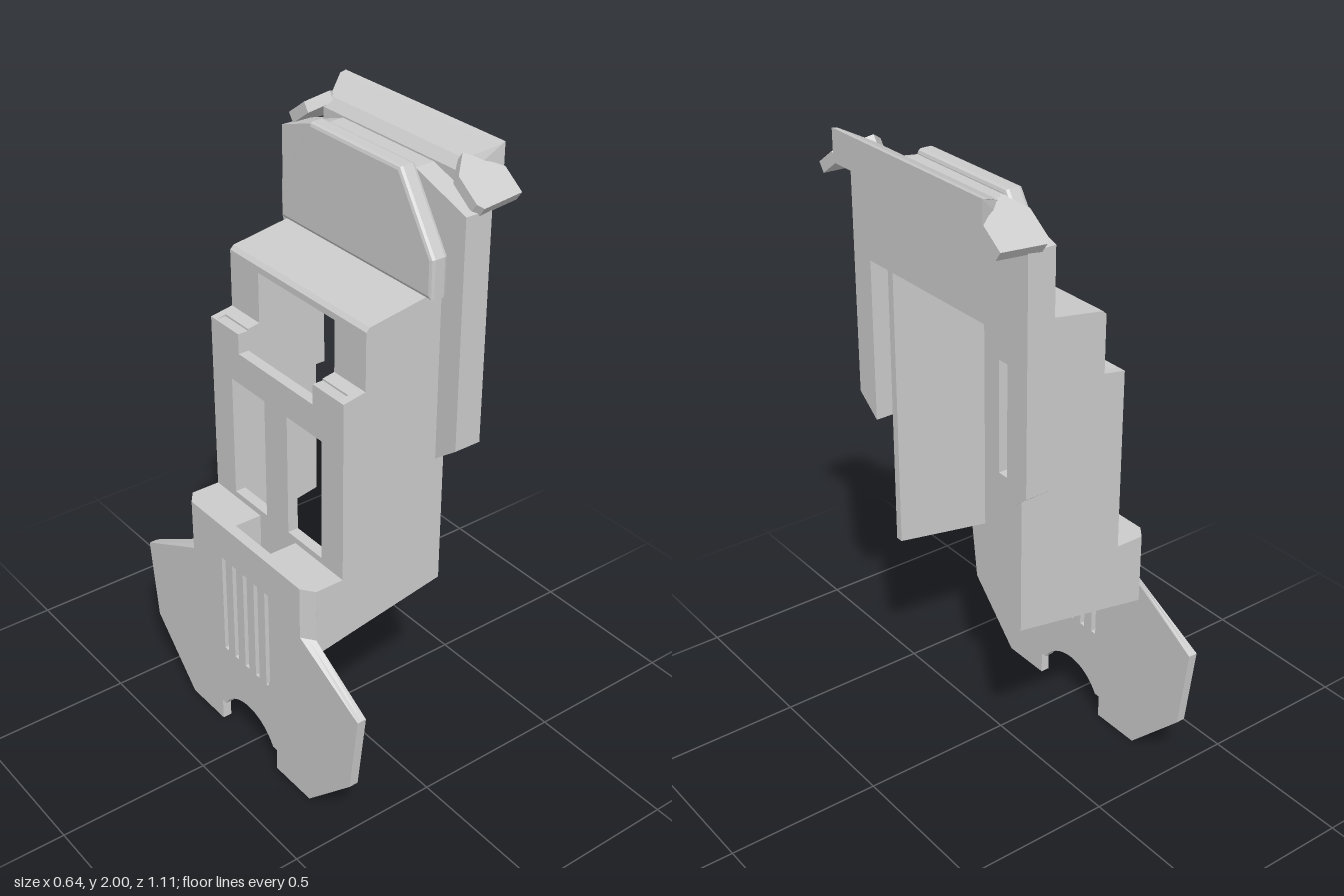
import * as THREE from 'three';

const material = new THREE.MeshStandardMaterial({ color: 0xcccccc, flatShading: true });

const polygon = pts => new THREE.Shape(pts.map(([a, b]) => new THREE.Vector2(a, b)));
const rect = (a0, b0, a1, b1) => [[a0, b0], [a1, b0], [a1, b1], [a0, b1]];
// Full outline from one half, mirrored across the first axis
const mirrored = half => polygon([...half, ...half.map(([a, b]) => [-a, b]).reverse()]);
const cut = (shape, ...rects) => {
  for (const r of rects) shape.holes.push(polygon(rect(...r)));
  return shape;
};

// Extrude of a given total depth, with the bevel kept inside the outline
function extrude(shape, depth, bevel = 0) {
  const g = new THREE.ExtrudeGeometry(shape, {
    depth: depth - 2 * bevel, bevelEnabled: bevel > 0, bevelSize: bevel,
    bevelThickness: bevel, bevelOffset: -bevel, bevelSegments: 2, curveSegments: 24,
  });
  return g.translate(0, 0, bevel);
}
// Outlines drawn as (z, y), (x, y) and (x, z)
const alongX = (s, x0, x1, b) => extrude(s, x1 - x0, b).rotateY(-Math.PI / 2).translate(x1, 0, 0);
const alongZ = (s, z0, z1, b) => extrude(s, z1 - z0, b).translate(0, 0, z0);
const alongY = (s, y0, y1, b) => extrude(s, y1 - y0, b).rotateX(Math.PI / 2).translate(0, y1, 0);

function reshape(g, rule) {
  const p = g.attributes.position, v = new THREE.Vector3();
  for (let i = 0; i < p.count; i++) {
    rule(v.fromBufferAttribute(p, i));
    p.setXYZ(i, v.x, v.y, v.z);
  }
  g.computeVertexNormals();
  return g;
}

// Lower plate outline with an arched cut-out and a tab up the back of the housing
function plateShape() {
  const s = new THREE.Shape();
  s.moveTo(0.15, 0);
  for (const [z, y] of [[0.32, 0], [0.52, 0.2], [0.555, 0.47], [0.32, 0.605], [0.32, 0.78],
    [-0.32, 0.78], [-0.32, 0.605], [-0.555, 0.47], [-0.52, 0.2], [-0.32, 0], [-0.15, 0], [-0.15, 0.075]]) s.lineTo(z, y);
  s.absarc(0, 0, 0.15, Math.PI * 5 / 6, Math.PI / 6, true);
  s.lineTo(0.15, 0.075);
  return s;
}

export function createModel() {
  const group = new THREE.Group();
  const add = (name, geometry) => {
    const m = new THREE.Mesh(geometry, material);
    m.name = name;
    group.add(m);
  };

  // Lower plate in two layers: long grooves outside, two rows of vents inside
  const slots = (...spans) => [-2, -1, 0, 1, 2].flatMap(i =>
    spans.map(([y0, y1]) => [i * 0.056 - 0.01, y0, i * 0.056 + 0.01, y1]));
  const chamfer = v => {
    if (v.y > 0.6 && Math.abs(v.z) > 0.3) v.z = Math.sign(v.z) * (0.28 + (v.x + 0.32) * 1.33);
  };
  add('lowerPlateOuter', reshape(alongX(cut(plateShape(), ...slots([0.31, 0.66])), -0.32, -0.305), chamfer));
  add('lowerPlateInner', reshape(
    alongX(cut(plateShape(), ...slots([0.31, 0.4], [0.455, 0.66])), -0.305, -0.29), chamfer));

  // Foot block with a vertical channel and a slanted underside
  const foot = cut(polygon([[-0.29, -0.32], [-0.195, -0.32], [-0.195, -0.295], [-0.16, -0.295],
    [-0.16, 0.295], [-0.195, 0.295], [-0.195, 0.32], [-0.29, 0.32]]), [-0.285, -0.09, -0.195, 0.09]);
  add('footBlock', reshape(alongY(foot, 0.55, 0.78), v => {
    if (v.y < 0.6) v.y = 0.55 + (v.x + 0.29) * 0.174;
  }));

  // Stepped side walls
  const wall = polygon([[-0.195, 0.567], [0.17, 0.63], [0.17, 1.585], [0.1, 1.575],
    [-0.12, 1.54], [-0.12, 1.378], [-0.195, 1.365]]);
  add('leftBackWall', alongZ(wall, -0.32, -0.295));
  add('rightFrontWall', alongZ(wall, 0.295, 0.32));

  // Back panel with two windows and a notch in its top edge
  add('windowPanel', alongX(cut(mirrored([[0.295, 0.78], [0.295, 1.365], [0.18, 1.365], [0.18, 1.3]]),
    [0.055, 0.8, 0.22, 1.2], [-0.22, 0.8, -0.055, 1.2]), -0.195, -0.16));

  // Shelves and uprights on each side of the upper opening
  for (const s of [-1, 1]) {
    const [z0, z1] = s > 0 ? [0.18, 0.295] : [-0.295, -0.18];
    add('shelf', alongZ(polygon([[-0.16, 1.35], [-0.09, 1.35], [-0.09, 1.38], [-0.12, 1.378], [-0.16, 1.371]]), z0, z1));
    add('upright', alongX(polygon(rect(z0, 1.36, z1, 1.56)), -0.12, -0.09));
  }

  // Sloped roof of the housing
  add('roof', alongZ(polygon([[-0.12, 1.54], [0.1, 1.57], [0.17, 1.58], [0.17, 1.61],
    [0.13, 1.61], [-0.108, 1.572], [-0.12, 1.56]]), -0.32, 0.32));

  // Front frame with two arms hanging beside the opening
  add('frontFrame', alongX(mirrored([[0.325, 1.59], [0.325, 1.07], [0.41, 1.135],
    [0.41, 1.855], [0.2, 1.925]]), 0.135, 0.225));

  // Trapezoid pad behind the top of the frame
  add('backPad', alongX(mirrored([[0.345, 1.6], [0.345, 1.72], [0.2, 1.94]]), 0.08, 0.137, 0.012));

  // Flared brow bar, narrower where it meets the frame
  add('browBar', reshape(alongZ(polygon([[0.2, 1.89], [0.32, 1.9], [0.32, 2], [0.3, 1.995], [0.225, 1.958], [0.2, 1.93]]),
    -0.345, 0.345), v => { if (v.x < 0.28) v.z *= 0.85; }));

  // Slanted corner flaps at the ends of the brow
  for (const s of [-1, 1]) {
    const flap = polygon([[0.165, 0.34], [0.22, 0.29], [0.32, 0.35], [0.32, 0.42], [0.18, 0.43], [0.165, 0.415]]
      .map(([x, z]) => [x, s * z]));
    add('cornerFlap', reshape(alongY(flap, 0, 1), v => {
      const z = Math.abs(v.z), under = v.y < 0.5 ? 1 : 0;
      v.y = 1.975 - (z - 0.29) * 0.72 - under * 0.028;
      v.z = s * (z - under * 0.02);
    }));
  }
  return group;
}
